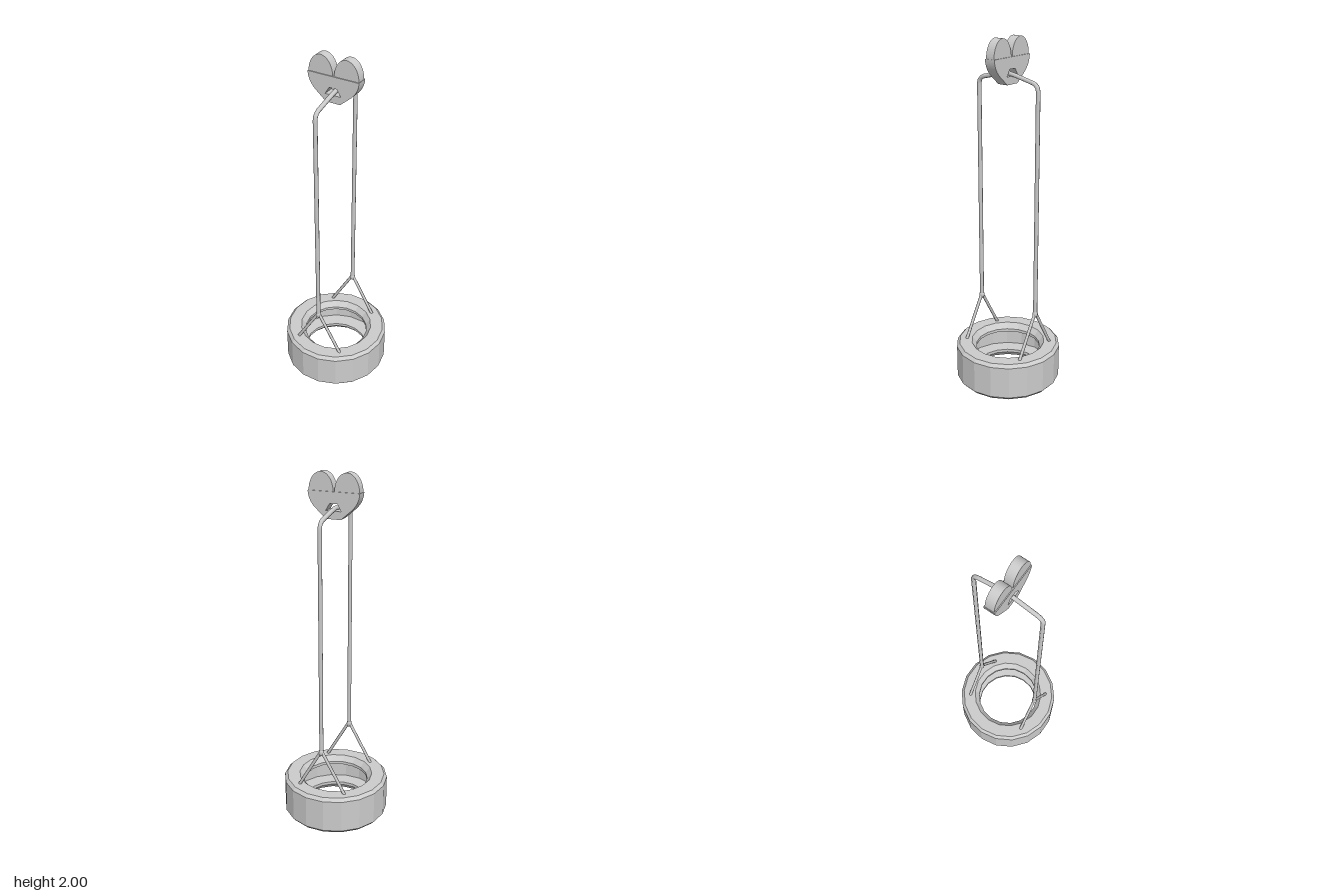
import * as THREE from 'three';

const flat = new THREE.MeshStandardMaterial({ color: 0xcccccc, flatShading: true });
const smooth = new THREE.MeshStandardMaterial({ color: 0xcccccc });
const v = (x, y, z) => new THREE.Vector3(x, y, z);

function addMesh(parent, name, geometry, material = flat) {
  const mesh = new THREE.Mesh(geometry, material);
  mesh.name = name;
  parent.add(mesh);
  return mesh;
}

// Straight round bar between two points
function addRod(parent, name, a, b, radius) {
  const dir = b.clone().sub(a);
  const rod = addMesh(parent, name, new THREE.CylinderGeometry(radius, radius, dir.length(), 8), smooth);
  rod.position.copy(a).add(b).multiplyScalar(0.5);
  rod.quaternion.setFromUnitVectors(v(0, 1, 0), dir.normalize());
}

// Extrusion centred on z = 0
function slab(shape, depth) {
  return new THREE.ExtrudeGeometry(shape, { depth, bevelEnabled: false, curveSegments: 12 })
    .translate(0, 0, -depth / 2);
}

export function createModel() {
  const group = new THREE.Group();

  // Hollow tyre with bevelled tread and inner lips
  const profile = [
    [0.188, 0.035], [0.215, 0.003], [0.288, 0.003], [0.305, 0.022], [0.305, 0.212],
    [0.288, 0.23], [0.215, 0.23], [0.188, 0.198], [0.188, 0.18], [0.265, 0.175],
    [0.265, 0.058], [0.188, 0.053], [0.188, 0.035],
  ].map(([r, y]) => new THREE.Vector2(r, y));
  addMesh(group, 'tyre', new THREE.LatheGeometry(profile, 18, Math.PI / 2));

  // One long rope looped over the hanger
  const path = new THREE.CurvePath();
  path.add(new THREE.LineCurve3(v(0, 0.46, 0.2), v(0, 1.735, 0.2)));
  path.add(new THREE.QuadraticBezierCurve3(v(0, 1.735, 0.2), v(0, 1.775, 0.2), v(0, 1.782, 0.15)));
  path.add(new THREE.QuadraticBezierCurve3(v(0, 1.782, 0.15), v(0, 1.813, 0.02), v(0, 1.813, 0)));
  path.add(new THREE.QuadraticBezierCurve3(v(0, 1.813, 0), v(0, 1.813, -0.02), v(0, 1.782, -0.15)));
  path.add(new THREE.QuadraticBezierCurve3(v(0, 1.782, -0.15), v(0, 1.775, -0.2), v(0, 1.735, -0.2)));
  path.add(new THREE.LineCurve3(v(0, 1.735, -0.2), v(0, 0.46, -0.2)));
  addMesh(group, 'rope', new THREE.TubeGeometry(path, 160, 0.012, 8), smooth);

  // Forked rope ends and their knots
  for (const z of [-0.2, 0.2]) {
    for (const x of [-0.15, 0.15]) addRod(group, 'ropeFork', v(0, 0.475, z), v(x, 0.212, z), 0.009);
    const knot = addMesh(group, 'knot', new THREE.SphereGeometry(0.016, 8, 6), smooth);
    knot.position.set(0, 0.465, z);
    knot.scale.y = 1.4;
  }

  // Hanger: lower plate with a slot for the rope
  const plate = new THREE.Shape();
  plate.moveTo(-0.042, 1.757);
  plate.lineTo(0.042, 1.757);
  plate.lineTo(0.106, 1.812);
  plate.quadraticCurveTo(0.145, 1.85, 0.147, 1.9);
  plate.lineTo(-0.147, 1.9);
  plate.quadraticCurveTo(-0.145, 1.85, -0.106, 1.812);
  plate.closePath();
  plate.holes.push(new THREE.Path([
    [-0.045, 1.8], [-0.022, 1.838], [0.022, 1.838], [0.045, 1.8],
  ].map(([x, y]) => new THREE.Vector2(x, y))));
  addMesh(group, 'hangerPlate', slab(plate, 0.062));

  // Two rounded lobes rising from the plate
  for (const side of [-1, 1]) {
    const lobe = new THREE.Shape();
    lobe.absellipse(side * 0.074, 1.9, 0.07, 0.1, 0, Math.PI, false);
    lobe.closePath();
    addMesh(group, side > 0 ? 'leftLobe' : 'rightLobe', slab(lobe, 0.052), smooth);
  }

  return group;
}
